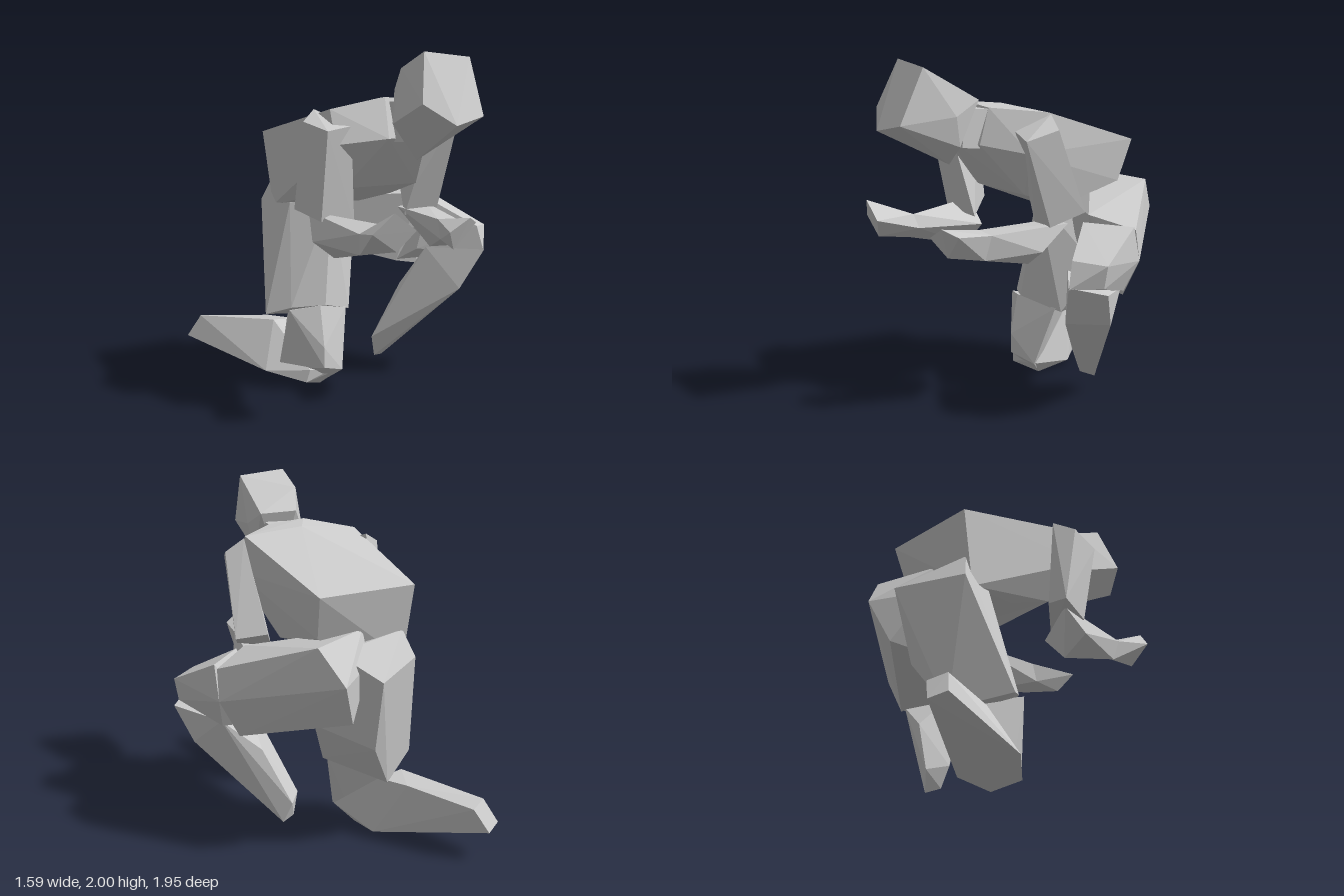
import * as THREE from 'three';
import { ConvexGeometry } from 'three/addons/geometries/ConvexGeometry.js';

// Faceted crouching mannequin: each body part is a solid spanned between cross-sections.
export function createModel() {
  const model = new THREE.Group();
  model.name = 'crouchingFigure';
  const clay = new THREE.MeshStandardMaterial({ color: 0xcccccc, flatShading: true });
  clay.name = 'light grey';

  // Each section is a short loop of corners; the solid encloses all of them.
  function solid(name, ...sections) {
    const corners = sections.flat().map((p) => new THREE.Vector3(...p));
    const mesh = new THREE.Mesh(new ConvexGeometry(corners), clay);
    mesh.name = name;
    model.add(mesh);
  }

  // Head: crown, face edge, back and chin
  solid('head',
    [[-0.13, 2, 0.79], [0.15, 1.97, 0.79], [-0.14, 1.91, 0.58]],
    [[-0.2, 1.74, 0.89], [-0.045, 1.63, 0.97], [0.145, 1.67, 0.93]],
    [[-0.09, 1.79, 0.43], [0.13, 1.78, 0.44], [-0.19, 1.62, 0.58], [0.165, 1.7, 0.6]],
    [[-0.02, 1.415, 0.545], [0.13, 1.53, 0.56]]);

  solid('neck',
    [[-0.09, 1.73, 0.5], [0.1, 1.73, 0.5], [-0.09, 1.52, 0.55], [0.1, 1.52, 0.53]],
    [[-0.1, 1.72, 0.3], [0.1, 1.72, 0.3], [-0.1, 1.5, 0.35], [0.1, 1.5, 0.35]]);

  // Torso: shoulders, chest, belly and lower back
  solid('torso',
    [[-0.42, 1.69, 0.31], [-0.12, 1.75, 0.38], [0.1, 1.73, 0.36], [0.33, 1.71, 0.12], [-0.04, 1.735, 0.19]],
    [[-0.41, 1.5, 0.36], [-0.14, 1.53, 0.46], [0.12, 1.53, 0.43], [0.35, 1.49, 0.25]],
    [[-0.28, 1.24, 0.2], [0.2, 1.24, 0.19]],
    [[-0.26, 1.15, -0.08], [-0.02, 1.12, -0.08], [0.19, 1.15, -0.08]],
    [[-0.425, 1.51, -0.55], [0.15, 1.49, -0.61], [-0.4, 1.07, -0.47], [0.13, 1.245, -0.525]]);

  // Upper arms
  solid('leftUpperArm',
    [[0.445, 1.625, 0.13], [0.34, 1.7, 0.11], [0.26, 1.61, 0.29], [0.4, 1.57, 0.31]],
    [[0.445, 1.155, -0.05], [0.27, 1.18, -0.1], [0.18, 1.04, 0.1], [0.38, 1.08, 0.14]]);
  solid('rightUpperArm',
    [[-0.525, 1.62, 0.2], [-0.42, 1.68, 0.12], [-0.32, 1.6, 0.37], [-0.48, 1.58, 0.4]],
    [[-0.535, 1.13, 0.1], [-0.42, 1.13, 0.07], [-0.24, 1.05, 0.25], [-0.47, 1.08, 0.3]]);

  // Forearms and hands share a wrist section
  const leftWrist = [[0.3, 1.06, 0.47], [0.17, 1.07, 0.47], [0.17, 0.96, 0.5], [0.28, 0.92, 0.5]];
  solid('leftForearm',
    [[0.39, 0.95, 0.2], [0.28, 0.865, 0.22], [0.19, 1.08, 0], [0.38, 1.09, 0.02]], leftWrist);
  solid('leftHand', leftWrist,
    [[0.29, 1.07, 0.67], [0.21, 1.11, 0.73], [0.08, 1.04, 0.73], [0.15, 0.93, 0.66]]);
  const rightWrist = [[-0.42, 1.06, 0.63], [-0.29, 1.1, 0.63], [-0.26, 1.02, 0.61], [-0.4, 0.94, 0.6]];
  solid('rightForearm',
    [[-0.51, 0.97, 0.27], [-0.36, 0.86, 0.24], [-0.24, 1.0, 0.2], [-0.47, 1.12, 0.15]], rightWrist);
  solid('rightHand', rightWrist,
    [[-0.36, 1.2, 0.89], [-0.23, 1.1, 0.89], [-0.32, 0.99, 0.84], [-0.46, 1.09, 0.84]]);

  // Left leg: thigh reaching out, bent knee, tapering shin
  solid('leftThigh',
    [[0.08, 1.05, -0.82], [0.19, 1.245, -0.69], [0, 0.81, -0.72], [-0.13, 1.28, -0.52], [-0.15, 1.1, -0.58]],
    [[0.62, 1.06, -0.27], [0.62, 0.88, -0.3], [0.5, 0.66, -0.28], [0.32, 0.7, -0.23]],
    [[0.41, 1.13, -0.1], [-0.01, 1.13, -0.27], [-0.01, 0.8, -0.34]]);
  solid('leftKnee',
    [[0.63, 1.08, -0.25], [0.62, 0.88, -0.3], [0.44, 1.1, -0.04], [0.32, 0.71, -0.22]],
    [[0.785, 0.93, 0.05], [0.64, 0.95, 0.18], [0.665, 0.8, 0.22], [0.76, 0.8, 0.055]],
    [[0.58, 0.71, -0.22], [0.36, 0.8, -0.05]]);
  solid('leftShin',
    [[0.665, 0.81, 0.22], [0.79, 0.77, 0.05], [0.38, 0.82, 0.02], [0.58, 0.73, -0.2]],
    [[0.54, 0.57, 0.15], [0.7, 0.57, -0.04], [0.36, 0.55, -0.25]],
    [[0.245, 0.1, -0.28], [0.165, 0.115, -0.23], [0.13, 0.245, -0.2], [0.2, 0.22, -0.31]]);

  // Right leg: thigh pointing down, knee on the ground, shin trailing back
  solid('rightThigh',
    [[-0.14, 1.05, -0.8], [-0.44, 1.1, -0.55], [-0.38, 1.25, -0.5], [0.05, 1.18, -0.6]],
    [[-0.17, 1.14, -0.15], [-0.36, 1.1, -0.32]],
    [[-0.15, 0.63, -0.68], [0.1, 0.715, -0.4]],
    [[-0.54, 0.45, -0.29], [-0.43, 0.5, -0.17], [-0.25, 0.515, -0.08], [-0.02, 0.44, -0.22], [-0.29, 0.37, -0.54]]);
  solid('rightKnee',
    [[-0.45, 0.49, -0.15], [-0.285, 0.515, -0.08], [-0.05, 0.46, -0.2], [-0.3, 0.42, -0.48]],
    [[-0.285, 0.15, -0.03], [-0.285, 0.27, -0.03], [-0.13, 0.1, -0.1], [-0.23, 0.01, -0.2], [-0.48, 0.12, -0.25]]);
  solid('rightShin',
    [[-0.35, 0.13, -0.09], [-0.2, 0.11, -0.1], [-0.13, 0.1, -0.12], [-0.37, 0.055, -0.1], [-0.23, 0.005, -0.2]],
    [[-0.555, 0.11, -0.27], [-0.25, 0.03, -0.44], [-0.44, 0.38, -0.4], [-0.28, 0.36, -0.44], [-0.385, 0.36, -0.6]],
    [[-0.795, 0.21, -0.92], [-0.725, 0.34, -0.87], [-0.635, 0.31, -0.93], [-0.71, 0.18, -0.98]]);

  return model;
}
